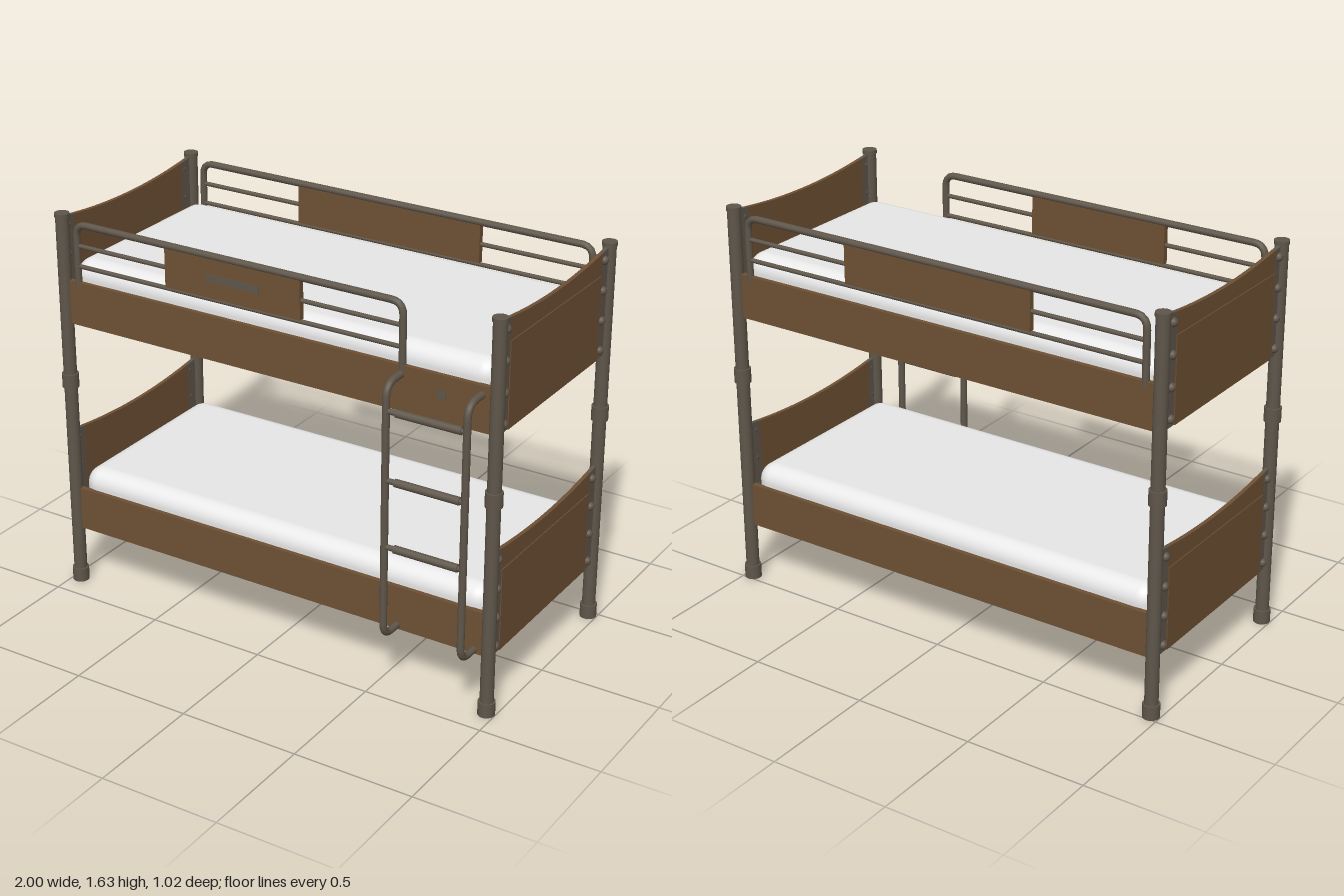
import * as THREE from 'three';
import { RoundedBoxGeometry } from 'three/addons/geometries/RoundedBoxGeometry.js';

const material = (name, color) => {
  const m = new THREE.MeshStandardMaterial({ color });
  m.name = name;
  return m;
};

const FRONT = 0.387, BACK = -0.475, MID = (FRONT + BACK) / 2, POST_X = 0.965;

export function createModel() {
  const wood = material('brown wood', 0x6e5034);
  const metal = material('dark bronze metal', 0x5f564a);
  const cloth = material('white cloth', 0xe8e8e8);
  const model = new THREE.Group();
  model.name = 'bunkBed';

  const add = (name, geometry, mat, x = 0, y = 0, z = 0, parent = model) => {
    const mesh = new THREE.Mesh(geometry, mat);
    mesh.name = name;
    mesh.position.set(x, y, z);
    parent.add(mesh);
    return mesh;
  };
  const group = (name) => {
    const g = new THREE.Group();
    g.name = name;
    model.add(g);
    return g;
  };
  // box given by its limits
  const box = (name, mat, [x0, x1], [y0, y1], [z0, z1], parent) =>
    add(name, new THREE.BoxGeometry(x1 - x0, y1 - y0, z1 - z0), mat,
      (x0 + x1) / 2, (y0 + y1) / 2, (z0 + z1) / 2, parent);
  // bar along x
  const bar = (name, x0, x1, y, z, r, parent) => {
    const g = new THREE.CylinderGeometry(r, r, x1 - x0, 14).rotateZ(Math.PI / 2);
    return add(name, g, metal, (x0 + x1) / 2, y, z, parent);
  };
  // U-shaped tube through four points with rounded corners
  const bentTube = (name, points, r, bend, parent) => {
    const p = points.map((a) => new THREE.Vector3(...a));
    const path = new THREE.CurvePath();
    let from = p[0];
    for (let i = 1; i < p.length - 1; i++) {
      const before = p[i].clone().add(p[i - 1].clone().sub(p[i]).setLength(bend));
      const after = p[i].clone().add(p[i + 1].clone().sub(p[i]).setLength(bend));
      path.add(new THREE.LineCurve3(from, before));
      path.add(new THREE.QuadraticBezierCurve3(before, p[i], after));
      from = after;
    }
    path.add(new THREE.LineCurve3(from, p[p.length - 1]));
    return add(name, new THREE.TubeGeometry(path, 120, r, 12), metal, 0, 0, 0, parent);
  };

  // corner posts with foot, collar and cap
  for (const x of [-POST_X, POST_X]) {
    for (const z of [FRONT, BACK]) {
      const post = group('cornerPost');
      for (const [name, r, y0, y1] of [
        ['postTube', 0.027, 0, 1.615], ['postFoot', 0.034, 0, 0.058],
        ['postCollar', 0.034, 0.885, 0.945], ['postCap', 0.03, 1.61, 1.626],
      ]) {
        add(name, new THREE.CylinderGeometry(r, r, y1 - y0, 24), metal, x, (y0 + y1) / 2, z, post);
      }
    }
  }

  // end panel slice between two z values, its top sagging in the middle
  const panelSlice = (name, mat, side, z0, z1, y0, height, thick, parent) => {
    const top = (z) => y0 + height + 0.03 * ((z - MID) / 0.405) ** 2;
    const shape = new THREE.Shape();
    shape.moveTo(z0, y0);
    shape.lineTo(z1, y0);
    for (let i = 0; i <= 16; i++) {
      const z = z1 + (z0 - z1) * (i / 16);
      shape.lineTo(z, top(z));
    }
    const g = new THREE.ExtrudeGeometry(shape, { depth: thick, bevelEnabled: false });
    g.translate(0, 0, -thick / 2).rotateY(-Math.PI / 2);
    return add(name, g, mat, side * POST_X, 0, 0, parent);
  };

  // both bunks: side boards, base, mattress and bolted end panels
  for (const [label, y] of [['lower', 0.25], ['upper', 1.168]]) {
    const bunk = group(label + 'Bunk');
    for (const z of [FRONT - 0.004, BACK + 0.004]) {
      box('sideBoard', wood, [-0.95, 0.95], [y, y + 0.183], [z - 0.011, z + 0.011], bunk);
    }
    box('bedBase', wood, [-0.96, 0.96], [y + 0.003, y + 0.02], [BACK + 0.005, FRONT - 0.005], bunk);
    add('mattress', new RoundedBoxGeometry(1.89, 0.243, 0.838, 6, 0.07), cloth, 0, y + 0.143, MID, bunk);

    for (const side of [-1, 1]) {
      panelSlice('endPanel', wood, side, -0.395, 0.324, y, 0.411, 0.016, bunk);
      panelSlice('endStrip', metal, side, 0.324, 0.375, y, 0.411, 0.016, bunk);
      panelSlice('endStrip', metal, side, -0.46, -0.395, y, 0.411, 0.016, bunk);
      // slightly raised field on the outside
      box('raisedField', wood, [side * POST_X + side * 0.0095 - 0.0025, side * POST_X + side * 0.0095 + 0.0025],
        [y, y + 0.345], [-0.393, 0.322], bunk);
      for (const z of [0.352, -0.418]) {
        for (let i = 0; i < 4; i++) {
          add('bolt', new THREE.SphereGeometry(0.018, 14, 10), metal,
            side * (POST_X + 0.007), y + 0.032 + i * 0.123, z, bunk);
        }
      }
    }
  }

  // guard rails with two bars and a wooden panel
  for (const [name, z, x1, p0, p1] of [
    ['frontGuard', FRONT - 0.004, 0.572, -0.47, 0.14],
    ['backGuard', BACK + 0.004, 0.9, -0.42, 0.42],
  ]) {
    const guard = group(name);
    const x0 = -0.9;
    bentTube('guardFrame', [[x0, 1.33, z], [x0, 1.592, z], [x1, 1.592, z], [x1, 1.33, z]], 0.014, 0.05, guard);
    for (const y of [1.502, 1.417]) bar('guardBar', x0, x1, y, z, 0.009, guard);
    box('guardPanel', wood, [p0, p1], [1.425, 1.582], [z - 0.012, z + 0.012], guard);
  }
  // worn metal-coloured markings
  box('panelMark', metal, [-0.28, -0.04], [1.492, 1.522], [0.394, 0.397]);
  box('boardMark', metal, [0.72, 0.76], [1.26, 1.29], [0.393, 0.396]);

  // ladder
  const ladder = group('ladder');
  for (const x of [0.572, 0.905]) {
    bentTube('ladderRail', [[x, 1.315, FRONT], [x, 1.315, 0.495], [x, 0.267, 0.495], [x, 0.267, FRONT]],
      0.0145, 0.06, ladder);
  }
  for (const y of [1.21, 0.93, 0.655]) {
    bar('rung', 0.572, 0.905, y, 0.495, 0.011, ladder);
    bar('rungSleeve', 0.615, 0.885, y, 0.495, 0.016, ladder);
  }

  return model;
}
